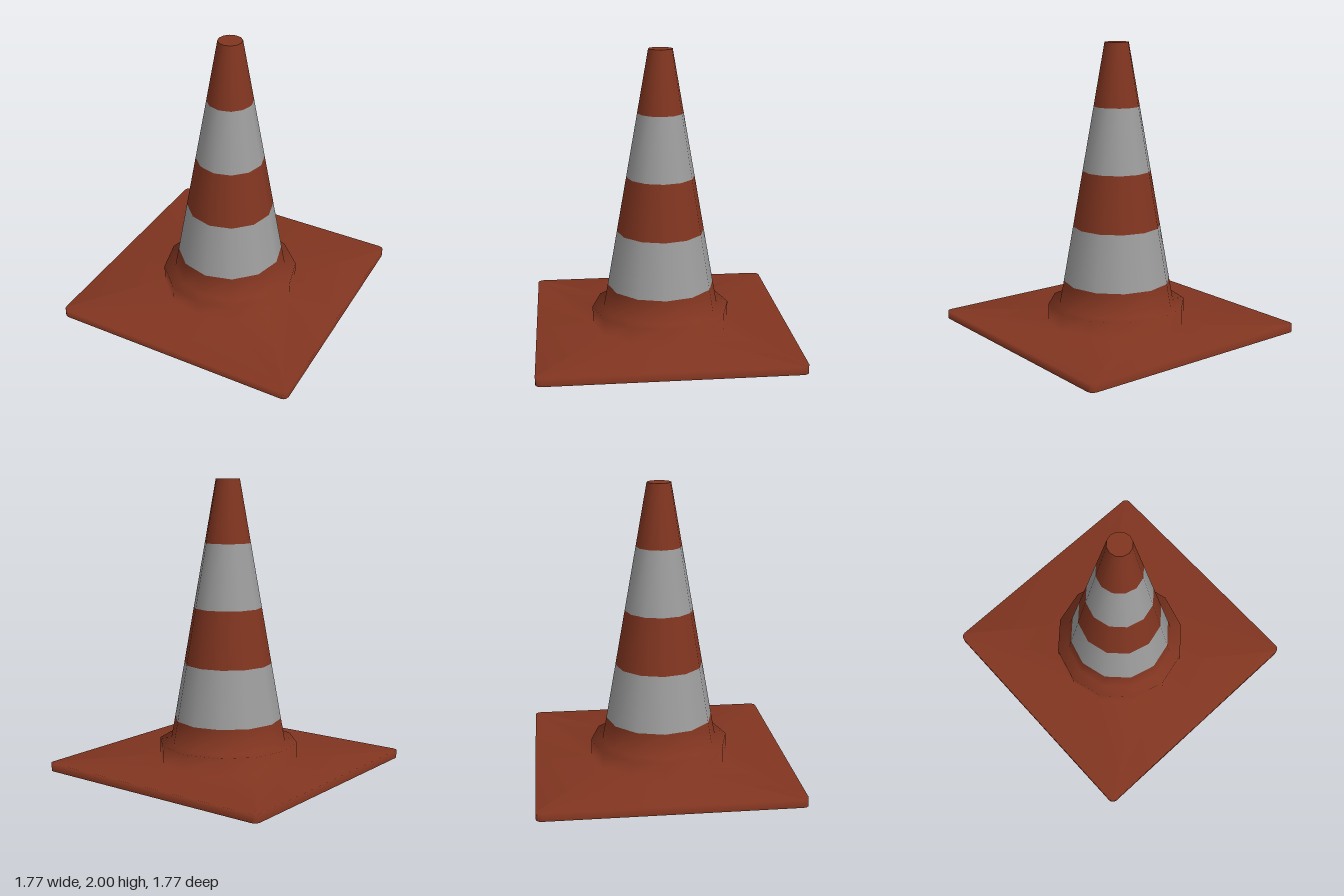
import * as THREE from 'three';
import { mergeVertices } from 'three/addons/utils/BufferGeometryUtils.js';

const SIDES = 12;
const orange = new THREE.MeshStandardMaterial({ name: 'orange rubber', color: 0x813520 });
const white = new THREE.MeshStandardMaterial({ name: 'reflective grey white', color: 0x9d9d9d });

// Cross-sections with five matching points per quadrant
function loop(y, pointsInQuadrant) {
  const points = [];
  for (let q = 0; q < 4; q++) {
    const c = [1, 0, -1, 0][q], s = [0, 1, 0, -1][q];
    for (const [u, v] of pointsInQuadrant) {
      points.push([u * c - v * s, y, -(u * s + v * c)]);
    }
  }
  return points;
}

function roundedSquare(y, half, corner) {
  const arc = [0, 30, 60, 90].map((deg) => {
    const a = THREE.MathUtils.degToRad(deg);
    return [half - corner + corner * Math.cos(a), half - corner + corner * Math.sin(a)];
  });
  return loop(y, [[half, 0], ...arc]);
}

function ring(y, radius) {
  return loop(y, [0, 30, 30, 60, 60].map((deg) => {
    const a = THREE.MathUtils.degToRad(deg);
    return [radius * Math.cos(a), radius * Math.sin(a)];
  }));
}

// Skin the loops from bottom to top with shared, smooth normals
function loft(loops) {
  const n = loops[0].length;
  const index = [];
  for (let i = 0; i < loops.length - 1; i++) {
    for (let j = 0; j < n; j++) {
      const k = (j + 1) % n;
      const a = i * n + j, b = i * n + k, c = (i + 1) * n + k, d = (i + 1) * n + j;
      index.push(a, b, c, a, c, d);
    }
  }
  const geometry = new THREE.BufferGeometry();
  geometry.setAttribute('position', new THREE.Float32BufferAttribute(loops.flat(2), 3));
  geometry.setIndex(index);
  const welded = mergeVertices(geometry, 1e-4);
  welded.computeVertexNormals();
  return welded;
}

export function createModel() {
  const group = new THREE.Group();
  group.name = 'trafficCone';
  const add = (name, geometry, material, y = 0) => {
    const mesh = new THREE.Mesh(geometry, material);
    mesh.name = name;
    mesh.position.y = y;
    group.add(mesh);
  };

  // Underside of the foot
  const footOutline = roundedSquare(0, 0.883, 0.04);
  add('underside', loft([ring(0, 0), footOutline]), orange);

  // Square foot, collar and lowest band in one moulded piece
  add('footAndCollar', loft([
    footOutline,
    roundedSquare(0.055, 0.883, 0.04),
    ring(0.055, 0.485),
    ring(0.175, 0.485),
    ring(0.175, 0.405),
    ring(0.34, 0.375),
  ]), orange);

  // Alternating bands up the cone: [name, bottom, top, material]
  const radiusAt = (y) => 0.375 + (y - 0.34) * (0.083 - 0.375) / (2 - 0.34);
  const bands = [
    ['lowerWhiteBand', 0.34, 0.73, white],
    ['middleOrangeBand', 0.73, 1.12, orange],
    ['upperWhiteBand', 1.12, 1.565, white],
    ['tip', 1.565, 2, orange],
  ];
  for (const [name, low, high, material] of bands) {
    add(name, new THREE.CylinderGeometry(radiusAt(high), radiusAt(low), high - low, SIDES, 1, true),
      material, (low + high) / 2);
  }

  // Flat cap closing the tip
  add('tipCap', new THREE.CircleGeometry(0.083, SIDES).rotateX(-Math.PI / 2), orange, 2);

  return group;
}
